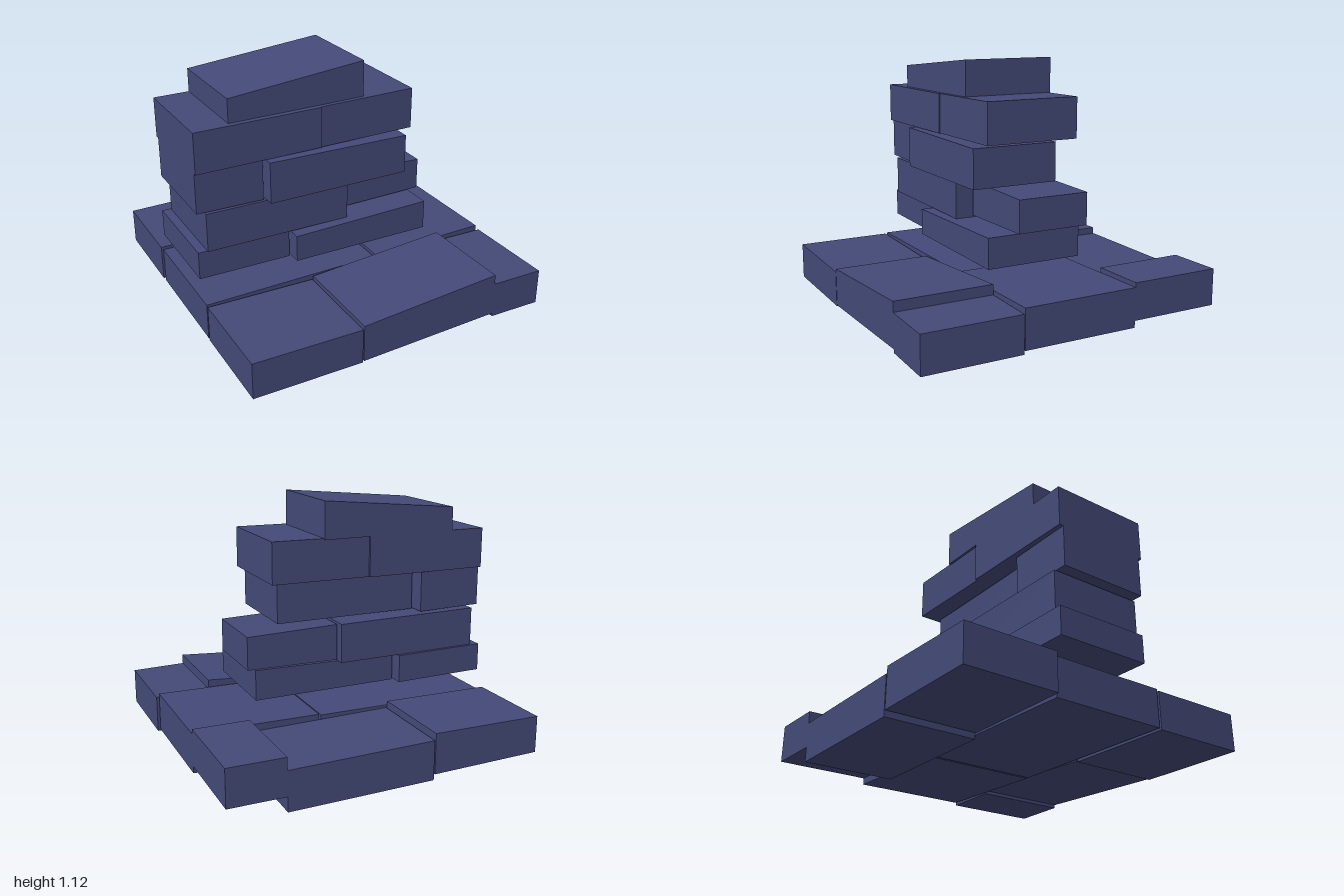
import * as THREE from 'three';

const stone = new THREE.MeshStandardMaterial({ color: 0x444a78, flatShading: true });

// One rough block: u and v are ground ranges; bottom and top are heights at
// [low u, high u]; cross tilts the upper face along v.
function block(name, [u0, u1], [v0, v1], bottom, top, cross = 0) {
  const g = new THREE.BoxGeometry(1, 1, 1);
  const p = g.attributes.position;
  for (let i = 0; i < p.count; i++) {
    const a = p.getX(i) > 0 ? 1 : 0;
    const b = p.getZ(i) > 0 ? 1 : 0;
    const y = p.getY(i) > 0 ? top[a] + (b ? cross : -cross) : bottom[a];
    p.setXYZ(i, a ? u1 : u0, y, b ? v1 : v0);
  }
  g.computeVertexNormals();
  const mesh = new THREE.Mesh(g, stone);
  mesh.name = name;
  return mesh;
}

export function createModel() {
  const root = new THREE.Group();
  root.name = 'stoneStack';
  const stack = new THREE.Group();
  stack.name = 'blocks';
  stack.rotation.y = Math.PI / 4;
  root.add(stack);

  // Paving slabs of the base, in three rows
  const back = [-0.7, -0.28], middle = [-0.28, 0.25], front = [0.26, 0.7];
  const slabs = [
    [[-0.71, -0.205], back, [0.05, 0.04], [0.215, 0.22]],
    [[-0.2, 0.45], back, [0.015, 0.005], [0.19, 0.18]],
    [[0.45, 0.7], back, [0.07, 0.07], [0.235, 0.235]],
    [[-0.7, 0.12], middle, [0.035, 0.03], [0.2, 0.205]],
    [[0.13, 0.7], middle, [0.03, 0.04], [0.21, 0.215]],
    [[-0.7, -0.205], front, [0.03, 0.025], [0.195, 0.185]],
    [[-0.2, 0.46], front, [0.03, 0.05], [0.2, 0.245]],
    [[0.46, 0.71], front, [0.035, 0.03], [0.2, 0.195]],
  ];
  slabs.forEach((s, i) => stack.add(block(`baseSlab${i + 1}`, ...s)));

  // Stacked courses, two bricks each
  const bricks = [
    [[-0.7, -0.28], [-0.25, 0.19], [0.295, 0.29], [0.42, 0.415]],
    [[-0.27, 0.39], [-0.2, 0.245], [0.29, 0.285], [0.41, 0.42]],
    [[-0.66, 0.005], [-0.24, 0.2], [0.42, 0.415], [0.595, 0.59]],
    [[0.015, 0.43], [-0.215, 0.12], [0.425, 0.43], [0.585, 0.575]],
    [[-0.7, -0.4], [-0.22, 0.2], [0.605, 0.6], [0.785, 0.78]],
    [[-0.39, 0.27], [-0.155, 0.25], [0.6, 0.6], [0.785, 0.775]],
    [[-0.7, -0.13], [-0.24, 0.215], [0.785, 0.787], [0.965, 0.968]],
    [[-0.13, 0.32], [-0.23, 0.21], [0.787, 0.79], [0.968, 0.973]],
  ];
  bricks.forEach((b, i) => stack.add(block(`courseBrick${i + 1}`, ...b)));

  // Sloping cap stone
  stack.add(block('capStone', [-0.54, 0.085], [-0.24, 0.19], [0.965, 0.965], [1.07, 1.13], 0));
  return root;
}
